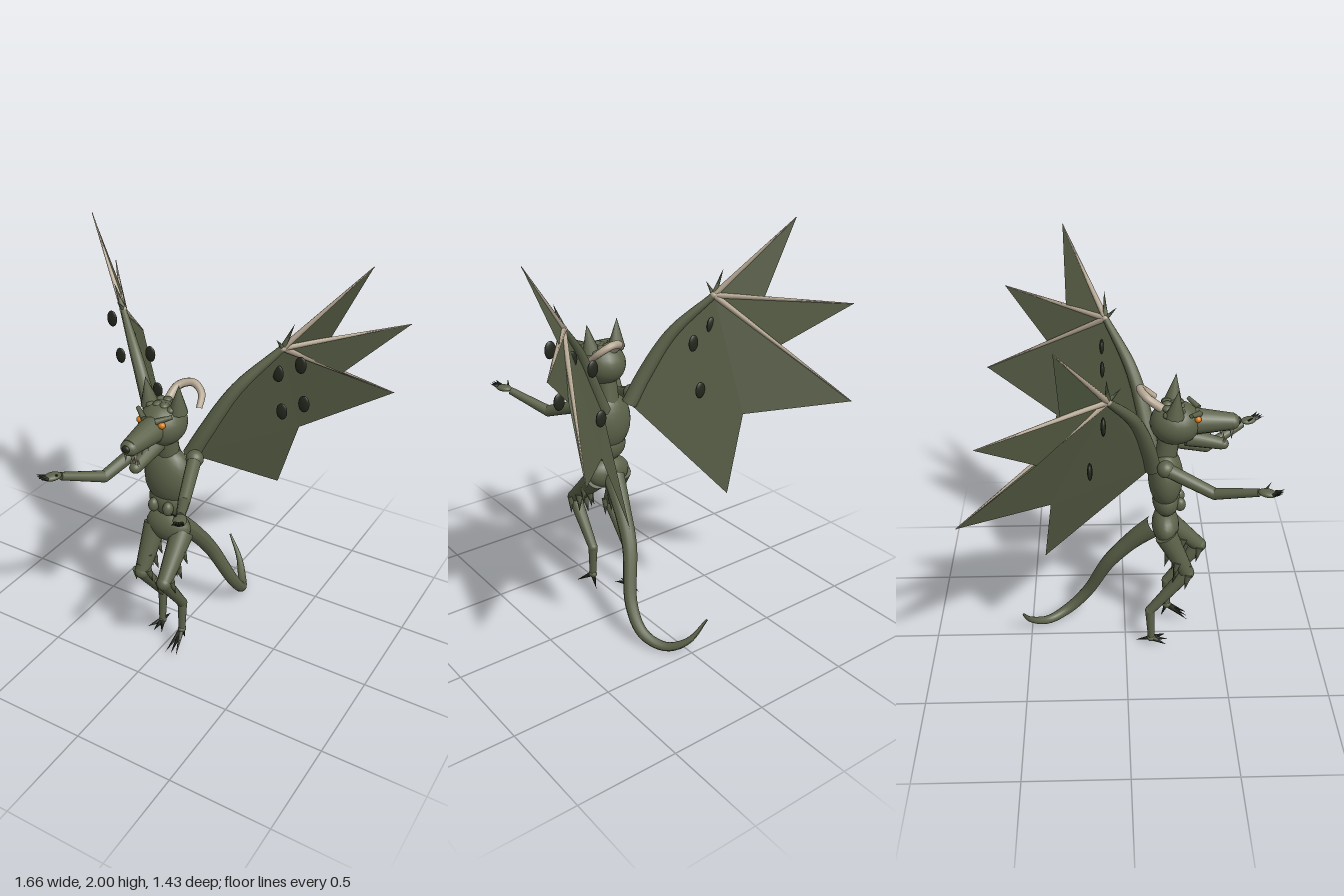
import * as THREE from 'three';

const V = (x, y, z) => new THREE.Vector3(x, y, z);
const mat = (name, color, extra = {}) => Object.assign(new THREE.MeshStandardMaterial({ color, ...extra }), { name });

export function createModel() {
  const model = new THREE.Group();
  model.name = 'wingedCreature';
  const skin = mat('olive skin', 0x5b6249);
  const membrane = mat('wing membrane', 0x565d45, { side: THREE.DoubleSide });
  const dark = mat('dark spots and claws', 0x24271d);
  const bone = mat('bone', 0xb3a591);
  const orange = mat('orange eye', 0xd67a1a);

  const add = (name, geo, material) => {
    const m = new THREE.Mesh(geo, material);
    m.name = name;
    model.add(m);
    return m;
  };
  const ball = (name, p, rx, ry, rz, material = skin) => {
    const m = add(name, new THREE.SphereGeometry(1, 20, 14), material);
    m.position.copy(p);
    m.scale.set(rx, ry, rz);
    return m;
  };
  // Tapered cylinder between two points; an end radius of zero gives a spike
  const limb = (name, a, b, ra, rb, material = skin, sides = 14) => {
    const m = add(name, new THREE.CylinderGeometry(rb, ra, a.distanceTo(b), sides), material);
    m.position.copy(a).lerp(b, 0.5);
    m.quaternion.setFromUnitVectors(V(0, 1, 0), b.clone().sub(a).normalize());
    return m;
  };
  // Curved tube whose radius follows a list of values along its length
  const taperTube = (name, pts, radii, material = skin, segs = 32) => {
    const curve = new THREE.CatmullRomCurve3(pts);
    const geo = new THREE.TubeGeometry(curve, segs, 1, 12);
    const pos = geo.attributes.position, v = V(0, 0, 0);
    for (let i = 0; i < pos.count; i++) {
      const t = Math.floor(i / 13) / segs;
      const f = t * (radii.length - 1), k = Math.min(Math.floor(f), radii.length - 2);
      const r = THREE.MathUtils.lerp(radii[k], radii[k + 1], f - k);
      const c = curve.getPointAt(t);
      v.fromBufferAttribute(pos, i).sub(c).multiplyScalar(r).add(c);
      pos.setXYZ(i, v.x, v.y, v.z);
    }
    geo.computeVertexNormals();
    return add(name, geo, material);
  };

  // Torso
  ball('chest', V(0, 0.99, 0.195), 0.125, 0.155, 0.085);
  ball('belly', V(0, 0.86, 0.2), 0.1, 0.085, 0.068);
  ball('hips', V(0, 0.71, 0.2), 0.12, 0.085, 0.068);
  limb('neck', V(0, 1.08, 0.19), V(0, 1.23, 0.21), 0.055, 0.05);

  // Head
  ball('skull', V(0, 1.29, 0.235), 0.11, 0.105, 0.122);
  limb('snout', V(0, 1.295, 0.3), V(0, 1.29, 0.51), 0.068, 0.04);
  ball('snoutTip', V(0, 1.29, 0.505), 0.042, 0.037, 0.034);
  ball('nose', V(0, 1.295, 0.533), 0.02, 0.018, 0.012, dark);
  limb('lowerJaw', V(0, 1.21, 0.29), V(0, 1.168, 0.465), 0.045, 0.028);
  ball('chin', V(0, 1.168, 0.465), 0.028, 0.026, 0.028);

  // Single curled horn and crown tufts
  taperTube('horn', [V(-0.015, 1.37, 0.17), V(0, 1.42, 0.1), V(0.06, 1.435, 0.07), V(0.115, 1.405, 0.09), V(0.135, 1.355, 0.145)], [0.022, 0.02, 0.018, 0.014]);
  model.children.at(-1).material = bone;
  for (let i = 0; i < 9; i++) {
    const x = (i % 5 - 2) * 0.036 + (i > 4 ? 0.018 : 0);
    ball('crownTuft', V(x, 1.385 - x * x * 4, i > 4 ? 0.25 : 0.195), 0.022, 0.016, 0.025);
  }

  // Tail
  taperTube('tail', [V(0, 0.7, 0.15), V(0.03, 0.6, 0.05), V(0.07, 0.43, -0.08), V(0.145, 0.17, -0.2), V(0.145, 0.055, -0.3),
    V(0.09, 0.02, -0.41), V(0.02, 0.08, -0.5), V(-0.06, 0.19, -0.537)], [0.055, 0.042, 0.036, 0.032, 0.028, 0.02, 0.005], skin, 48);

  for (const s of [1, -1]) {
    const side = s > 0 ? 'left' : 'right';
    const P = (x, y, z) => V(s * x, y, z);

    // Face details
    ball(side + 'Eye', P(0.057, 1.335, 0.335), 0.018, 0.016, 0.016, orange);
    limb(side + 'Brow', P(0.03, 1.35, 0.345), P(0.09, 1.37, 0.3), 0.014, 0.01);
    limb(side + 'Ear', P(0.075, 1.36, 0.225), P(0.088, 1.5, 0.24), 0.045, 0, skin, 10);
    for (const [z, l] of [[0.5, 0.055], [0.45, 0.03], [0.4, 0.03]])
      limb(side + 'UpperTooth', P(0.026, 1.262, z), P(0.026, 1.262 - l, z), 0.009, 0, bone, 6);
    limb(side + 'LowerTooth', P(0.018, 1.18, 0.465), P(0.018, 1.225, 0.47), 0.007, 0, bone, 6);
    ball(side + 'BellyBump', P(0.04, 0.85, 0.267), 0.026, 0.036, 0.028);

    // Arm, hand and claws
    const shoulder = P(0.137, 1.115, 0.185), elbow = P(0.215, 1.025, 0.41), wrist = P(0.315, 1.095, 0.6);
    ball(side + 'Shoulder', shoulder, 0.042, 0.042, 0.042);
    limb(side + 'UpperArm', shoulder, elbow, 0.034, 0.028);
    ball(side + 'Elbow', elbow, 0.028, 0.028, 0.028);
    limb(side + 'Forearm', elbow, wrist, 0.028, 0.019);
    const palm = ball(side + 'Palm', P(0.335, 1.105, 0.635), 0.03, 0.016, 0.044);
    palm.rotation.y = s * 0.45;
    for (let i = 0; i < 4; i++) {
      const a = 0.05 + i * 0.27, knuckle = P(0.335 + Math.sin(a) * 0.03, 1.11, 0.635 + Math.cos(a) * 0.035);
      limb(side + 'FingerClaw', knuckle, P(0.335 + Math.sin(a) * 0.07, 1.125, 0.635 + Math.cos(a) * 0.075), 0.01, 0, dark, 6);
    }
    limb(side + 'ThumbClaw', P(0.32, 1.1, 0.62), P(0.3, 1.14, 0.655), 0.009, 0, dark, 6);

    // Striding legs: the left is raised, the right is planted
    const x = 0.088, lifted = s > 0;
    const hip = P(0.075, 0.69, 0.2);
    const knee = lifted ? P(x, 0.51, 0.385) : P(x, 0.465, 0.31);
    const ankle = lifted ? P(x, 0.28, 0.22) : P(x, 0.22, 0.125);
    const foot = lifted ? P(x, 0.115, 0.225) : P(x, 0.035, 0.135);
    limb(side + 'Thigh', hip, knee, 0.058, 0.036);
    ball(side + 'Knee', knee, 0.037, 0.037, 0.037);
    limb(side + 'Shin', knee, ankle, 0.036, 0.024);
    ball(side + 'Ankle', ankle, 0.025, 0.025, 0.025);
    limb(side + 'Foot', ankle, foot, 0.024, 0.017);
    ball(side + 'FootPad', foot, 0.02, 0.02, 0.024);
    for (const a of [-0.45, 0, 0.45]) {
      const tip = foot.clone().add(lifted ? V(Math.sin(a) * 0.07, -0.085, 0.11) : V(Math.sin(a) * 0.1, -0.012, Math.cos(a) * 0.085));
      limb(side + 'ToeClaw', foot, tip, 0.016, 0, dark, 6);
    }
    limb(side + 'HeelClaw', foot, foot.clone().add(lifted ? V(0, -0.08, -0.03) : V(0, -0.012, -0.08)), 0.014, 0, dark, 6);

    // Fur spikes hanging from thigh and knee
    for (let i = 0; i < 10; i++) {
      const a = i * 2.4, base = hip.clone().lerp(knee, 0.3 + i * 0.07).add(V(Math.cos(a) * 0.034, -0.01, Math.sin(a) * 0.034));
      limb(side + 'FurSpike', base, base.clone().add(V(Math.cos(a) * 0.016, -0.085, -0.02)), 0.02, 0, skin, 6);
    }

    // Wing skeleton
    const root = P(0.08, 1.09, 0.125), hand = P(0.425, 1.632, -0.085);
    const bend = [P(0.15, 1.23, 0.1), P(0.265, 1.44, 0.035)];
    const tips = [P(0.735, 2, -0.29), P(0.826, 1.645, -0.6), P(0.74, 1.22, -0.715)];
    taperTube(side + 'WingArm', [root, ...bend, hand], [0.04, 0.036, 0.028, 0.016]);
    ball(side + 'WingWrist', hand, 0.018, 0.018, 0.018, bone);
    for (const t of tips) limb(side + 'WingFinger', hand, t, 0.015, 0.002, bone, 8);
    limb(side + 'WingClaw', hand, P(0.475, 1.755, -0.09), 0.015, 0, skin, 6);
    limb(side + 'WingClaw', hand, P(0.42, 1.69, -0.03), 0.013, 0, skin, 6);

    // Scalloped membrane, a fan of panels around the wing wrist
    const rim = [tips[0], P(0.57, 1.645, -0.28), tips[1], P(0.595, 1.43, -0.38), tips[2],
      P(0.41, 1.11, -0.342), P(0.29, 0.74, -0.385), root, ...bend];
    const tri = [];
    for (let i = 0; i < 5; i++) tri.push(hand, rim[i], rim[i + 1]);
    tri.push(hand, rim[5], root, rim[5], rim[6], root, hand, root, bend[1], root, bend[0], bend[1]);
    const geo = new THREE.BufferGeometry().setFromPoints(tri);
    geo.computeVertexNormals();
    add(side + 'WingMembrane', geo, membrane);

    // Dark oval spots in two rows
    for (const [y, z] of [[1.56, -0.105], [1.34, -0.165]])
      for (let i = 0; i < 3; i++)
        ball(side + 'WingSpot', P(0.507 - i * 0.109, y - i * 0.068, z), 0.028, 0.041, 0.011, dark);
  }
  return model;
}
